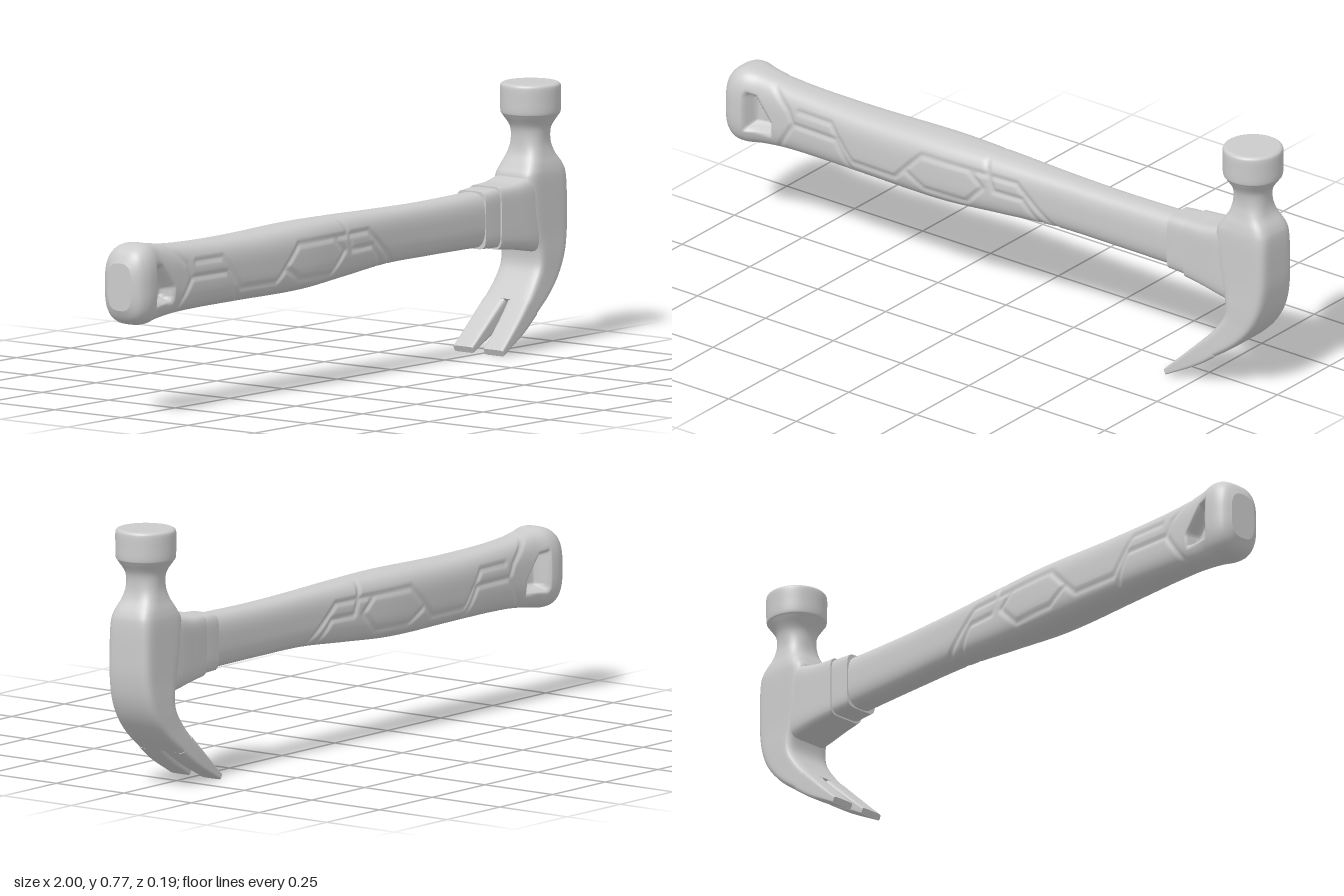
import * as THREE from 'three';

const MID_Z = -0.007;
const material = new THREE.MeshStandardMaterial({ color: 0xcccccc });

// Smooth interpolation through rows of [key, ...values]
function spline(rows) {
  const size = rows[0].length - 1;
  const f = new THREE.CubicInterpolant(rows.map(r => r[0]), rows.flatMap(r => r.slice(1)), size, new Float32Array(size));
  return t => Array.from(f.evaluate(t));
}

// Unit superellipse: n = 2 is a circle, larger n is squarer
function superellipse(n, count) {
  return Array.from({ length: count }, (_, i) => {
    const a = (i / count) * Math.PI * 2, c = Math.cos(a), s = Math.sin(a);
    const r = (Math.abs(c) ** n + Math.abs(s) ** n) ** (-1 / n);
    return [c * r, s * r];
  });
}

// Skin a list of rings of Vector3, closing both ends with flat caps
function loft(name, rings) {
  const n = rings[0].length, pos = [], idx = [];
  rings.forEach(r => r.forEach(p => pos.push(p.x, p.y, p.z)));
  for (let i = 0; i < rings.length - 1; i++) {
    for (let j = 0; j < n; j++) {
      const a = i * n + j, b = i * n + (j + 1) % n;
      idx.push(a, b, a + n, b, b + n, a + n);
    }
  }
  [rings[0], rings[rings.length - 1]].forEach((ring, end) => {
    const base = pos.length / 3, mid = new THREE.Vector3();
    ring.forEach(p => { pos.push(p.x, p.y, p.z); mid.addScaledVector(p, 1 / n); });
    pos.push(mid.x, mid.y, mid.z);
    for (let j = 0; j < n; j++) {
      const a = base + j, b = base + (j + 1) % n;
      if (end) idx.push(a, b, base + n); else idx.push(b, a, base + n);
    }
  });
  // Turn the faces outward if the enclosed volume is negative
  const v = i => new THREE.Vector3().fromArray(pos, i * 3);
  let volume = 0;
  for (let i = 0; i < idx.length; i += 3) volume += v(idx[i]).dot(v(idx[i + 1]).cross(v(idx[i + 2])));
  if (volume < 0) idx.reverse();
  const geo = new THREE.BufferGeometry();
  geo.setAttribute('position', new THREE.Float32BufferAttribute(pos, 3));
  geo.setIndex(idx);
  geo.computeVertexNormals();
  const mesh = new THREE.Mesh(geo, material);
  mesh.name = name;
  return mesh;
}

// Loft along x from rows of [x, centreY, halfHeight, halfDepth]
function loftX(name, rows, n, steps, count, carve = () => 0) {
  const at = spline(rows), x0 = rows[0][0], x1 = rows[rows.length - 1][0];
  const outline = superellipse(n, count), rings = [];
  for (let i = 0; i <= steps; i++) {
    const x = x0 + (x1 - x0) * i / steps, [cy, hy, hz] = at(x);
    rings.push(outline.map(([u, w]) => {
      const y = cy + u * hy;
      return new THREE.Vector3(x, y, MID_Z + w * (hz - carve(x, y)));
    }));
  }
  return loft(name, rings);
}

// Grip pattern: shallow grooves and a hanging recess on both sides
const grooves = [
  [[-0.72, 0.435], [-0.6, 0.435], [-0.52, 0.335], [-0.36, 0.335], [-0.26, 0.435], [0.08, 0.435], [0.21, 0.325]],
  [[-0.04, 0.49], [0.0, 0.39], [0.1, 0.39], [0.16, 0.32]],
  [[-0.83, 0.49], [-0.76, 0.43], [-0.74, 0.39], [-0.8, 0.3]],
  [[-0.74, 0.39], [-0.58, 0.39], [-0.53, 0.31]],
  [[-0.32, 0.37], [-0.25, 0.33], [-0.1, 0.33], [-0.04, 0.39], [-0.09, 0.435]],
].flatMap(path => path.slice(1).map((p, i) =>
  new THREE.Line3(new THREE.Vector3(...path[i], 0), new THREE.Vector3(...p, 0))));
const recess = [[-0.915, 0.445], [-0.915, 0.33], [-0.825, 0.33], [-0.825, 0.37], [-0.88, 0.44]];

function gripCarve(x, y) {
  const p = new THREE.Vector3(x, y, 0), q = new THREE.Vector3();
  const near = Math.min(...grooves.map(l => l.closestPointToPoint(p, true, q).distanceTo(p)));
  const inside = Math.min(...recess.map(([ax, ay], i) => {
    const [bx, by] = recess[(i + 1) % recess.length];
    return ((bx - ax) * (y - ay) - (by - ay) * (x - ax)) / Math.hypot(bx - ax, by - ay);
  }));
  return 0.005 * (1 - THREE.MathUtils.smoothstep(near, 0.002, 0.012))
    + 0.045 * THREE.MathUtils.smoothstep(inside, -0.004, 0.014);
}

// Head stations from claw tip to striking face:
// [outer x, outer y, inner x, inner y, half depth, squareness]
const headRows = [
  [0.66, 0.002, 0.652, 0.02, 0.093, 7],
  [0.76, 0.055, 0.735, 0.1, 0.09, 7],
  [0.83, 0.103, 0.785, 0.15, 0.086, 7],
  [0.9, 0.155, 0.823, 0.195, 0.082, 7],
  [0.95, 0.21, 0.85, 0.24, 0.08, 7],
  [0.98, 0.27, 0.852, 0.285, 0.079, 7],
  [0.994, 0.34, 0.84, 0.33, 0.077, 7],
  [0.997, 0.42, 0.82, 0.42, 0.076, 7],
  [0.996, 0.5, 0.813, 0.5, 0.075, 6],
  [0.987, 0.535, 0.828, 0.535, 0.07, 5],
  [0.966, 0.57, 0.846, 0.57, 0.06, 3.5],
  [0.959, 0.605, 0.851, 0.605, 0.055, 2.5],
  [0.964, 0.645, 0.846, 0.645, 0.061, 2],
  [0.987, 0.68, 0.823, 0.68, 0.082, 2],
  [0.993, 0.692, 0.817, 0.692, 0.088, 2],
  [0.994, 0.73, 0.816, 0.73, 0.089, 2],
  [0.994, 0.762, 0.816, 0.762, 0.089, 2],
  [0.991, 0.772, 0.819, 0.772, 0.086, 2],
  [0.984, 0.776, 0.826, 0.776, 0.079, 2],
];
const headAt = spline(headRows.map((r, i) => [i, ...r]));
const SLOT_END = 2;

// One head ring; side 0 spans the full depth, +1 or -1 is a single prong
function headRing(t, side) {
  const [ox, oy, nx, ny, hz, n] = headAt(t);
  const slot = THREE.MathUtils.lerp(0.021, 0.005, t / SLOT_END);
  const mid = side * (hz + slot) / 2, half = side ? (hz - slot) / 2 : hz;
  return superellipse(n, 64).map(([u, w]) => new THREE.Vector3(
    (ox + nx) / 2 + u * (ox - nx) / 2,
    (oy + ny) / 2 + u * (oy - ny) / 2,
    MID_Z * Math.min(1, t / 4) + mid + w * half));
}

function headPart(name, t0, t1, side) {
  const steps = Math.round((t1 - t0) * 6);
  return loft(name, Array.from({ length: steps + 1 }, (_, i) => headRing(t0 + (t1 - t0) * i / steps, side)));
}

export function createModel() {
  const model = new THREE.Group();
  model.name = 'clawHammer';

  // Handle with flared butt and swelling grip
  model.add(loftX('handle', [
    [-1, 0.385, 0.07, 0.045], [-0.988, 0.386, 0.094, 0.064], [-0.965, 0.387, 0.113, 0.077],
    [-0.93, 0.389, 0.12, 0.079], [-0.88, 0.389, 0.113, 0.067], [-0.8, 0.388, 0.103, 0.064],
    [-0.7, 0.387, 0.098, 0.066], [-0.5, 0.386, 0.096, 0.073], [-0.2, 0.389, 0.099, 0.078],
    [0, 0.395, 0.091, 0.067], [0.2, 0.4, 0.081, 0.057], [0.4, 0.399, 0.079, 0.053], [0.68, 0.4, 0.082, 0.053],
  ], 3, 290, 96, gripCarve));

  // Collar and cheek joining the handle to the head
  model.add(loftX('collar', [[0.63, 0.4, 0.085, 0.056], [0.67, 0.401, 0.087, 0.058], [0.71, 0.4, 0.088, 0.058]], 6, 6, 64));
  model.add(loftX('cheek', [
    [0.695, 0.4, 0.092, 0.062], [0.76, 0.398, 0.097, 0.068], [0.82, 0.399, 0.108, 0.073], [0.87, 0.4, 0.118, 0.074],
  ], 7, 14, 64));

  // Head body, neck and striking face, then the split claw
  model.add(headPart('head', SLOT_END, headRows.length - 1, 0));
  model.add(headPart('leftClaw', 0, SLOT_END, 1));
  model.add(headPart('rightClaw', 0, SLOT_END, -1));
  return model;
}
